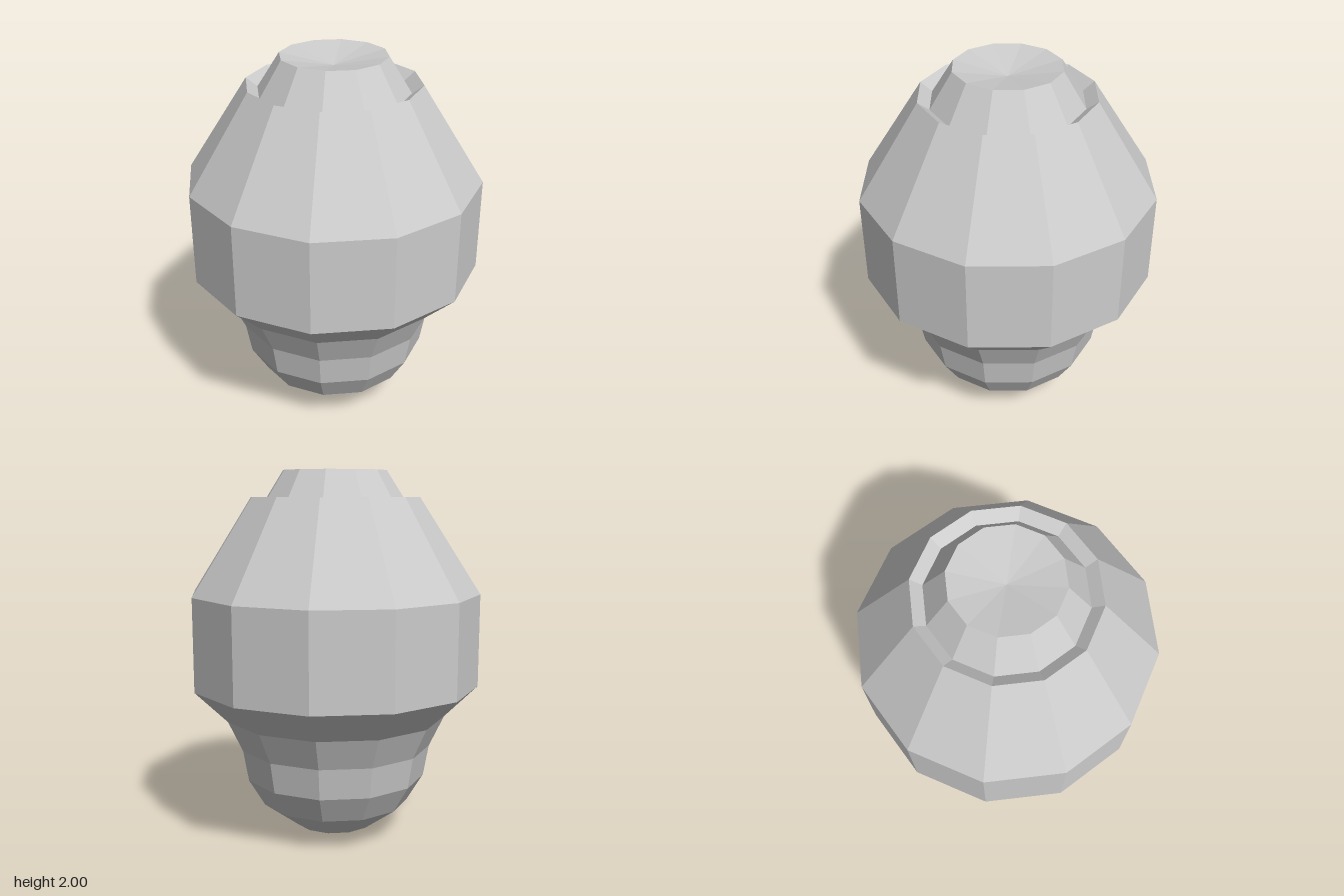
import * as THREE from 'three';

const SIDES = 12;

export function createModel() {
  const model = new THREE.Group();
  model.name = 'facetedVessel';
  const material = new THREE.MeshStandardMaterial({ color: 0xcccccc, flatShading: true });

  // Twelve-sided turned part; profile runs upwards along the outside as [radius, y]
  const turned = (name, profile) => {
    const points = profile.map(([r, y]) => new THREE.Vector2(r, y));
    const mesh = new THREE.Mesh(new THREE.LatheGeometry(points, SIDES), material);
    mesh.name = name;
    model.add(mesh);
  };

  // Rounded lower bulb, flaring out to meet the body
  turned('lowerBulb', [
    [0, 0], [0.22, 0.045], [0.41, 0.185], [0.5, 0.335],
    [0.53, 0.505], [0.61, 0.675], [0.787, 0.85],
  ]);

  // Straight band, sloping shoulder and bevelled inner lip
  turned('body', [[0.787, 0.85], [0.787, 1.35], [0.458, 1.86], [0.398, 1.815]]);

  // Tapered cap with a shallow dished top
  turned('cap', [[0.398, 1.815], [0.28, 2], [0, 1.945]]);

  return model;
}
